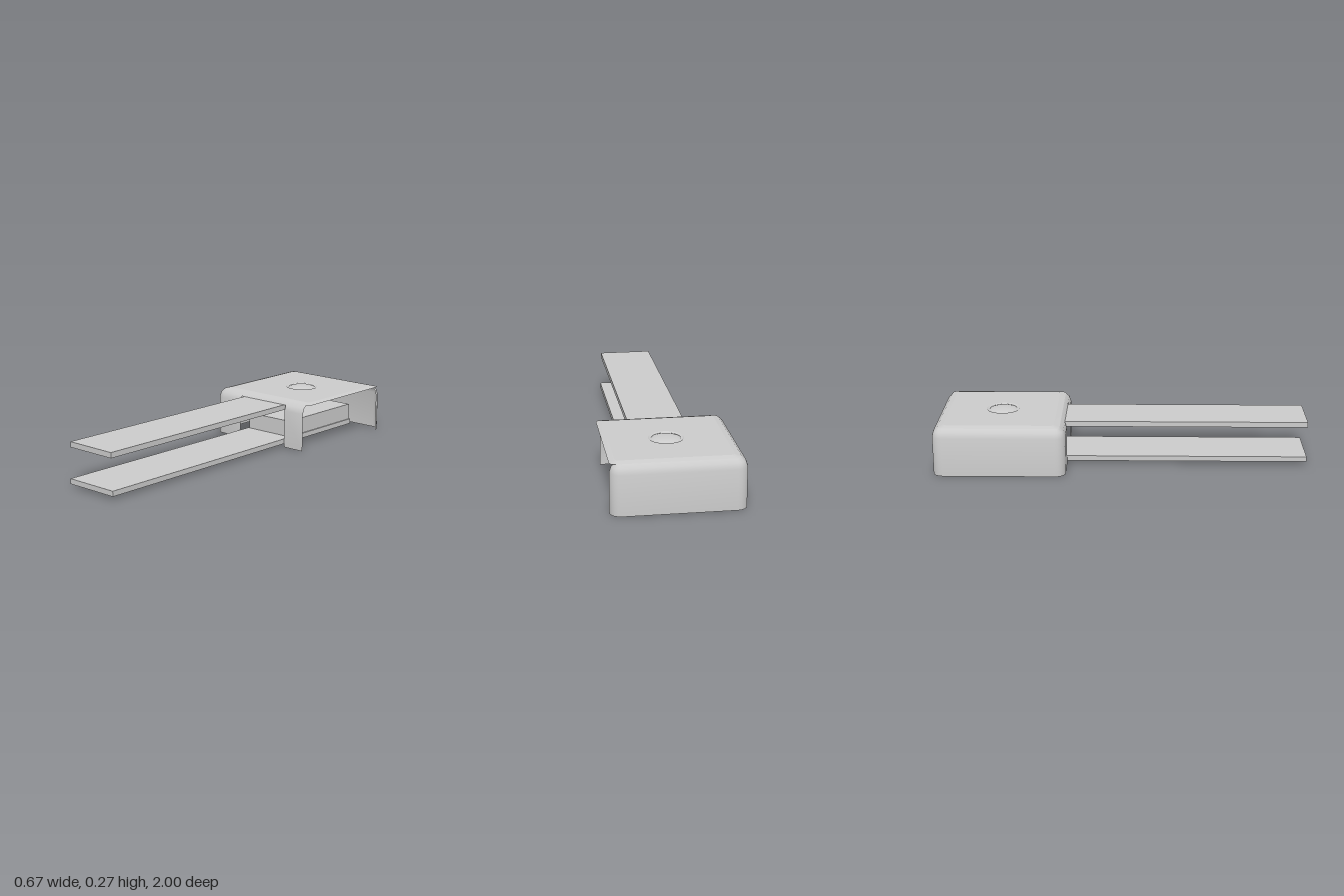
import * as THREE from 'three';
import { toCreasedNormals } from 'three/addons/utils/BufferGeometryUtils.js';

const material = new THREE.MeshStandardMaterial({ color: 0xcccccc, side: THREE.DoubleSide });
const LEFT = -0.338, RIGHT = 0.335, BACK = -1, FRONT = -0.295, RADIUS = 0.055;
const BUTTON = { x: 0.015, z: -0.65, r: 0.09 };

function addMesh(group, name, geometry) {
  const mesh = new THREE.Mesh(geometry, material);
  mesh.name = name;
  group.add(mesh);
  return mesh;
}

function addBox(group, name, [x0, x1], [y0, y1], [z0, z1]) {
  addMesh(group, name, new THREE.BoxGeometry(x1 - x0, y1 - y0, z1 - z0))
    .position.set((x0 + x1) / 2, (y0 + y1) / 2, (z0 + z1) / 2);
}

// Surface through rows of points, ordered bottom to top
function loft(rows, skip = () => false) {
  const n = rows[0].length, index = [];
  for (let j = 0; j < rows.length - 1; j++) {
    for (let i = 0; i < n - 1; i++) {
      if (skip(j, i)) continue;
      const a = j * n + i;
      index.push(a, a + 1, a + n, a + 1, a + n + 1, a + n);
    }
  }
  const geometry = new THREE.BufferGeometry().setFromPoints(rows.flat());
  geometry.setIndex(index);
  return toCreasedNormals(geometry, 0.6);
}

// Quarter-circle corner in plan, starting at the given quarter turn
function corner(cx, cz, r, y, quarter, steps = 5) {
  return Array.from({ length: steps + 1 }, (_, i) => {
    const a = (quarter + i / steps) * Math.PI / 2;
    return new THREE.Vector3(cx + r * Math.cos(a), y, cz - r * Math.sin(a));
  });
}

// Housing outline: back, left and front walls, leaving the right side open
function wallRow(y, inset) {
  const r = RADIUS - inset;
  const front = [-0.145, 0.18, 0.31].map(x => new THREE.Vector3(x, y, FRONT - inset));
  return [
    ...corner(RIGHT - RADIUS, BACK + RADIUS, r, y, 0),
    ...corner(LEFT + RADIUS, BACK + RADIUS, r, y, 1),
    ...corner(LEFT + RADIUS, FRONT - RADIUS, r, y, 2),
    ...front,
  ];
}

// Closed rounded rectangle of the lid
function lidRow(y, inset, r) {
  const x0 = LEFT + 0.03 + inset, x1 = RIGHT - inset;
  const z0 = BACK + 0.03 + inset, z1 = FRONT - 0.03 - inset;
  const row = [
    ...corner(x1 - r, z0 + r, r, y, 0),
    ...corner(x0 + r, z0 + r, r, y, 1),
    ...corner(x0 + r, z1 - r, r, y, 2),
    ...corner(x1 - r, z1 - r, r, y, 3),
  ];
  return [...row, row[0].clone()];
}

export function createModel() {
  const model = new THREE.Group();
  model.name = 'clampDevice';

  // Housing shell with a doorway in the front wall
  const housing = new THREE.Group();
  housing.name = 'housing';
  model.add(housing);
  const rows = [[0, 0], [0.21, 0], [0.24, 0.01], [0.257, 0.03]].map(([y, inset]) => wallRow(y, inset));
  const doorway = rows[0].length - 3;
  addMesh(housing, 'walls', loft(rows, (j, i) => i === doorway && j < 2));

  // Lid: shallow rim and flat top with a round opening
  const inner = lidRow(0.265, 0.03, 0.02);
  addMesh(housing, 'lidRim', loft([lidRow(0.257, 0, 0.025), inner]));
  const top = new THREE.Shape(inner.slice(0, -1).map(p => new THREE.Vector2(p.x, -p.z)));
  top.holes.push(new THREE.Path().absarc(BUTTON.x, -BUTTON.z, BUTTON.r, 0, Math.PI * 2, true));
  const topGeometry = new THREE.ShapeGeometry(top, 12);
  topGeometry.rotateX(-Math.PI / 2);
  addMesh(housing, 'lidTop', topGeometry).position.y = 0.265;

  // Domed button sitting in a shallow dish
  const profile = [[BUTTON.r, 0.265], [0.078, 0.257], [0.074, 0.262], [0.055, 0.268], [0.03, 0.271], [0, 0.272]]
    .map(([r, y]) => new THREE.Vector2(r, y));
  addMesh(housing, 'button', new THREE.LatheGeometry(profile, 24)).position.set(BUTTON.x, 0, BUTTON.z);

  // Two long bars and the block on the lower one
  addBox(model, 'upperBar', [-0.13, 0.166], [0.21, 0.239], [-0.79, 1]);
  addBox(model, 'lowerBar', [-0.138, 0.173], [0.017, 0.045], [-0.915, 1]);
  addBox(model, 'block', [-0.13, 0.166], [0.045, 0.135], [-0.91, -0.355]);

  return model;
}
